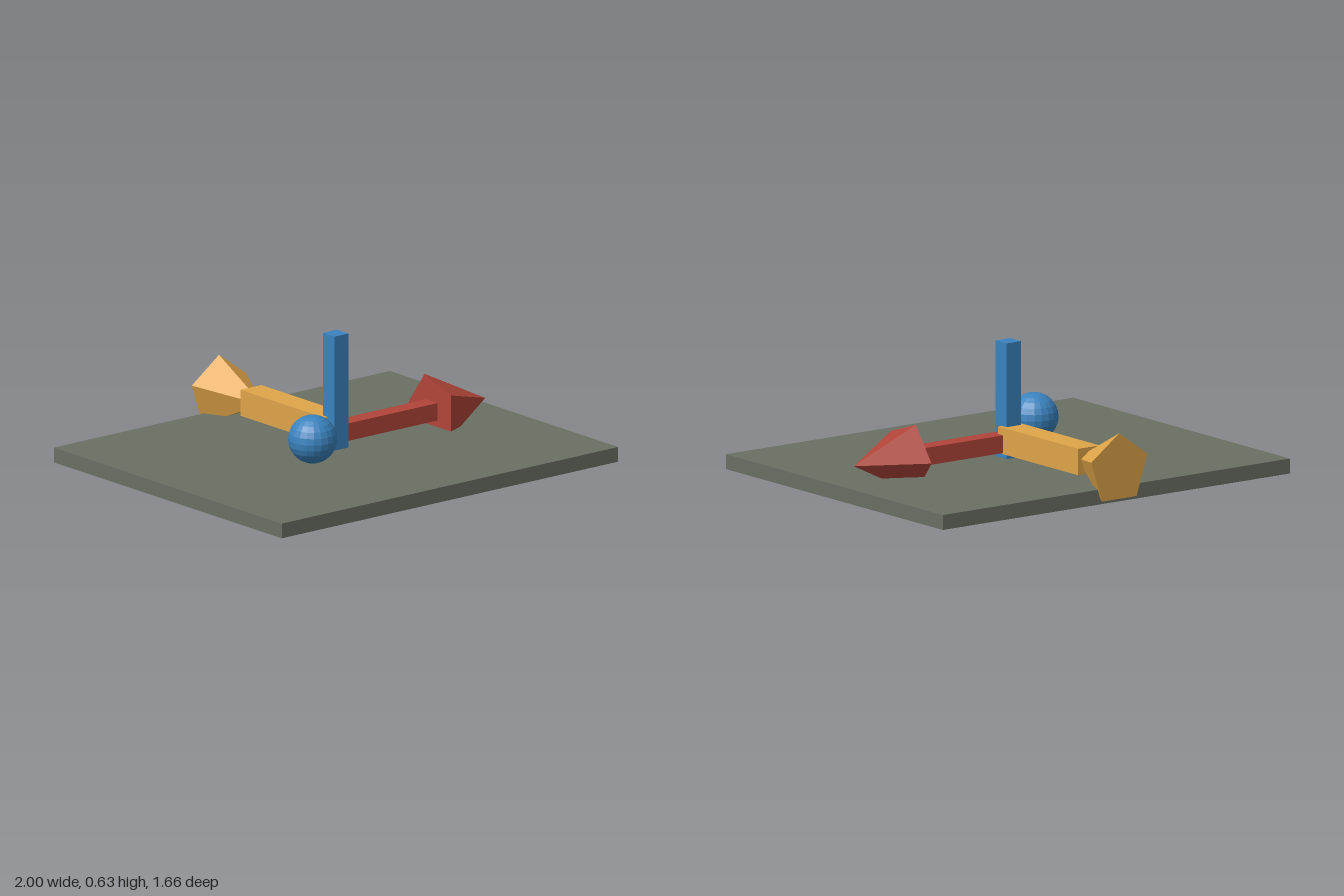
import * as THREE from 'three';

export function createModel() {
  const group = new THREE.Group();
  const material = (color) => new THREE.MeshStandardMaterial({ color, flatShading: true });
  const red = material(0xb3453a), yellow = material(0xe0a548);
  const blue = material(0x3a83be), grey = material(0x6a7064);

  const add = (name, geometry, mat, x, y, z) => {
    const mesh = new THREE.Mesh(geometry, mat);
    mesh.name = name;
    mesh.position.set(x, y, z);
    group.add(mesh);
  };
  const box = (w, h, d) => new THREE.BoxGeometry(w, h, d);
  // Five-sided arrow head, apex along +y before it is turned
  const head = () => new THREE.ConeGeometry(0.17, 0.317, 5, 1, false, Math.PI);

  // Ground slab
  add('base', box(2, 0.07, 1.64), grey, 0, 0.057, 0.01);

  // Upright post
  add('post', box(0.083, 0.55, 0.083), blue, 0, 0.36, 0.007);

  // Arrow pointing to the model's left
  add('sideShaft', box(0.58, 0.083, 0.083), red, 0.29, 0.165, 0.007);
  add('sideArrowHead', head().rotateZ(-Math.PI / 2), red, 0.731, 0.164, 0.007);

  // Rear arrow, its head turned inward so the tip sits inside the shaft
  add('rearShaft', box(0.124, 0.124, 0.605), yellow, 0, 0.18, -0.3);
  add('rearArrowHead', head().rotateX(Math.PI / 2), yellow, 0, 0.177, -0.673);

  // Ball floating above the slab
  add('ball', new THREE.SphereGeometry(0.113, 20, 12), blue, -0.27, 0.216, 0.168);

  return group;
}
